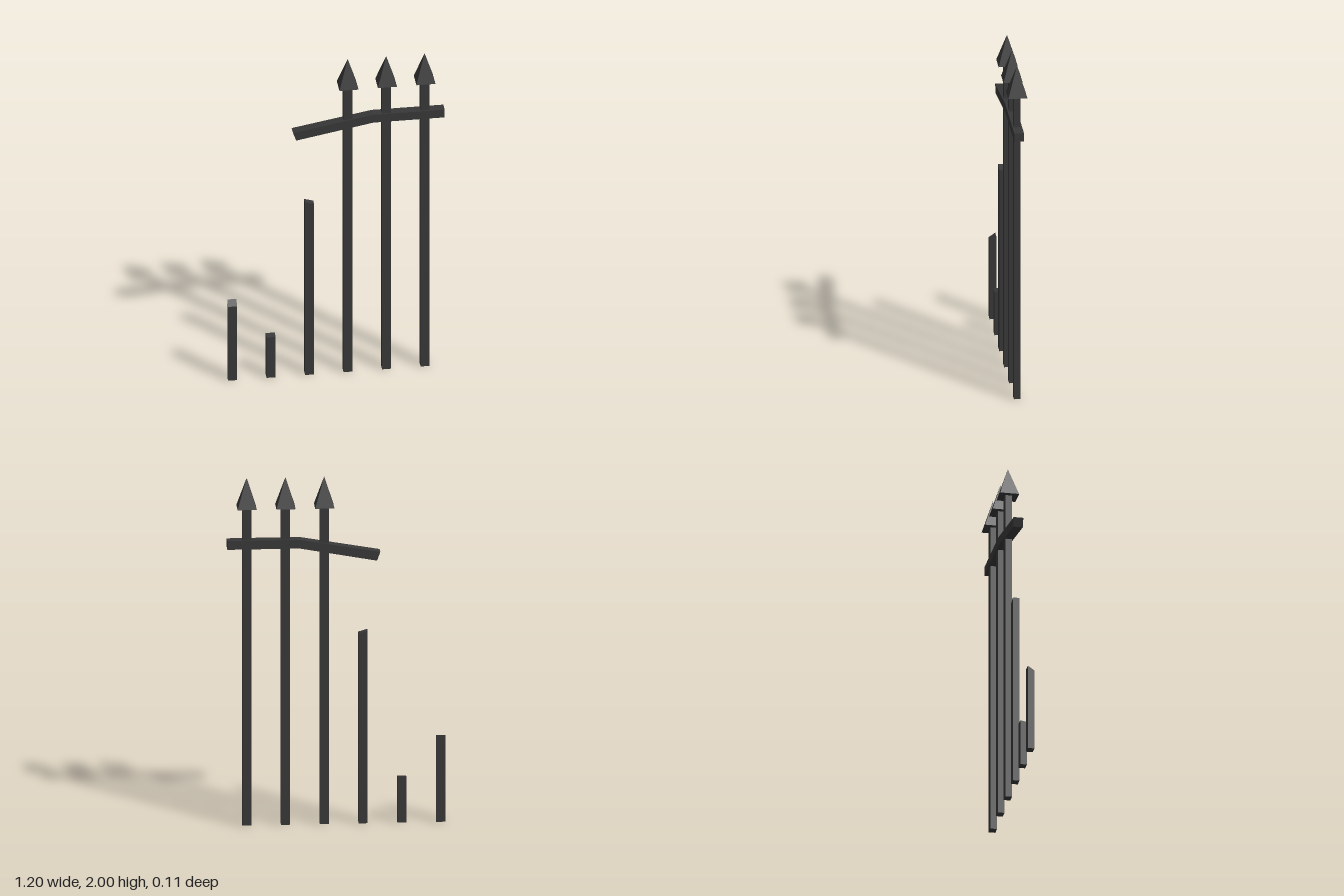
import * as THREE from 'three';

const W = 0.05, D = 0.037;

// Square bar standing on the ground; its top face may slope along x and z
function barGeometry(height, slopeX = 0, slopeZ = 0) {
  const geo = new THREE.BoxGeometry(W, height, D);
  geo.translate(0, height / 2, 0);
  const p = geo.attributes.position;
  for (let i = 0; i < p.count; i++) {
    if (p.getY(i) < height / 2) continue;
    const drop = (p.getX(i) > 0 ? slopeX : 0) + (p.getZ(i) > 0 ? slopeZ : 0);
    p.setY(i, height - drop);
  }
  geo.computeVertexNormals();
  return geo;
}

export function createModel() {
  const model = new THREE.Group();
  const iron = new THREE.MeshStandardMaterial({ color: 0x383838, flatShading: true });
  iron.name = 'dark iron';

  const add = (name, geo, x = 0, y = 0) => {
    const mesh = new THREE.Mesh(geo, iron);
    mesh.name = name;
    mesh.position.set(x, y, 0);
    model.add(mesh);
    return mesh;
  };

  // Broken bars with slanted tops, then three whole bars
  const bars = [
    { height: 0.5, slopeZ: 0.026 },
    { height: 0.266, slopeZ: 0.007 },
    { height: 1.11, slopeX: 0.015 },
    { height: 1.83, spear: true },
    { height: 1.83, spear: true },
    { height: 1.83, spear: true },
  ];
  bars.forEach((b, i) => {
    const x = -0.578 + i * 0.214;
    add(b.spear ? 'bar' : 'brokenBar', barGeometry(b.height, b.slopeX, b.slopeZ), x);
    if (b.spear) {
      // Four-sided spear point
      const tip = new THREE.ConeGeometry(0.053 * Math.SQRT2, 0.17, 4);
      tip.rotateY(Math.PI / 4);
      add('spearPoint', tip, x, 1.915);
    }
  });

  // Cross rail, bent downwards at its broken end
  const outline = new THREE.Shape([
    [-0.226, 1.516], [0.203, 1.595], [0.6, 1.595],
    [0.6, 1.645], [0.2, 1.645], [-0.244, 1.566],
  ].map(([x, y]) => new THREE.Vector2(x, y)));
  const rail = new THREE.ExtrudeGeometry(outline, { depth: 0.054, bevelEnabled: false });
  rail.translate(0, 0, -0.027);
  add('bentRail', rail);

  return model;
}
